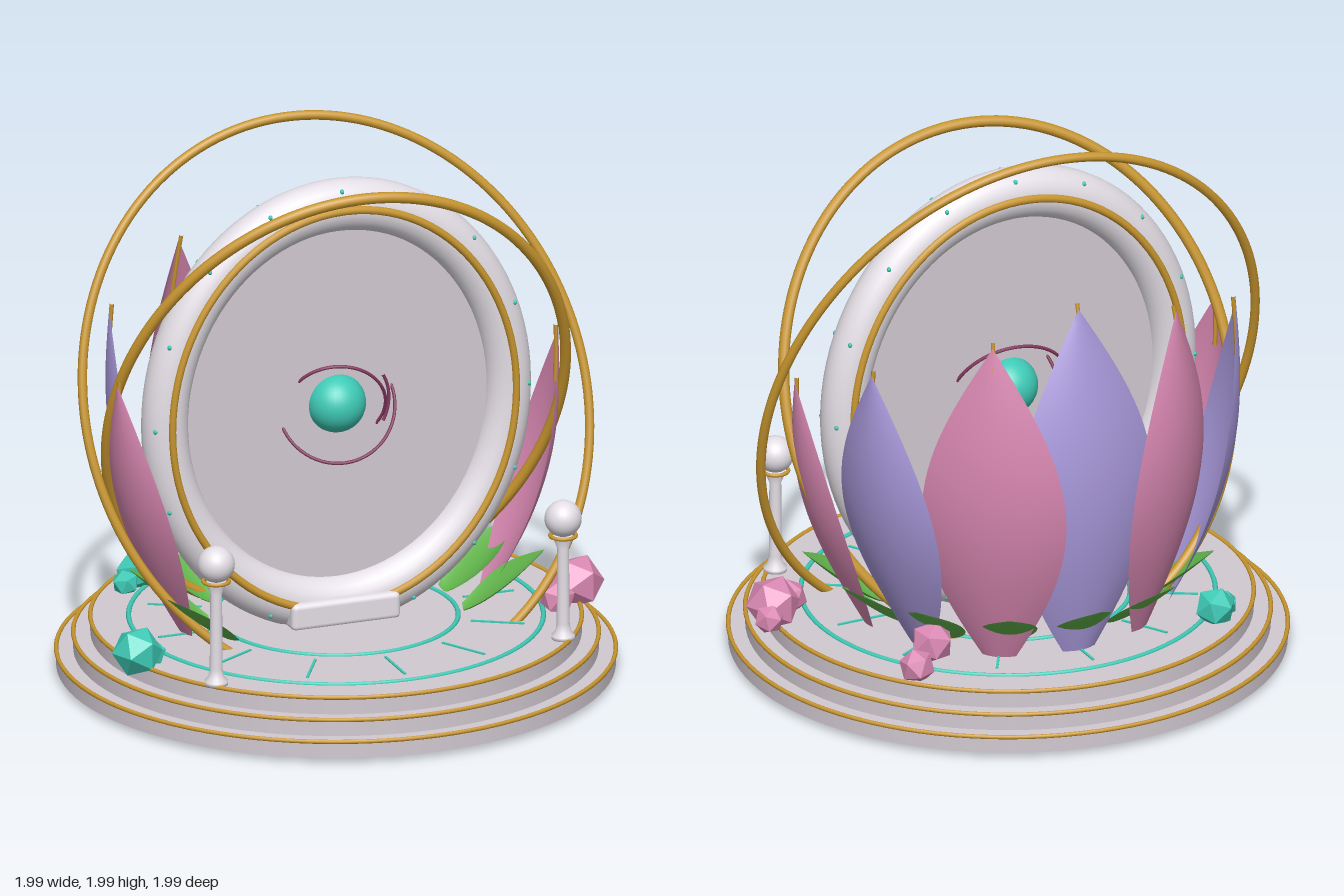
import * as THREE from 'three';
import { ParametricGeometry } from 'three/addons/geometries/ParametricGeometry.js';
import { RoundedBoxGeometry } from 'three/addons/geometries/RoundedBoxGeometry.js';

const mat = (name, color, extra = {}) => {
  const m = new THREE.MeshStandardMaterial({ color, ...extra });
  m.name = name;
  return m;
};

export function createModel() {
  const two = { side: THREE.DoubleSide };
  const shell = mat('pearl white', 0xe4dfe6);
  const stone = mat('pale stone', 0xd2c9d1);
  const gold = mat('gold', 0xc8962f);
  const teal = mat('teal', 0x3fcab6, { flatShading: false });
  const tealFacet = teal.clone();
  tealFacet.flatShading = true;
  const pink = mat('petal pink', 0xd988b2, two);
  const pinkFacet = mat('crystal pink', 0xd988b2, { flatShading: true });
  const violet = mat('petal violet', 0xa898da, two);
  const green = mat('leaf green', 0x62b44c, two);
  const plum = mat('plum', 0x85385f);

  const model = new THREE.Group();
  const add = (name, geometry, material, x = 0, y = 0, z = 0, parent = model) => {
    const mesh = new THREE.Mesh(geometry, material);
    mesh.name = name;
    mesh.position.set(x, y, z);
    parent.add(mesh);
    return mesh;
  };
  const flatRing = (name, r, tube, material, x, y, z) => {
    const ring = add(name, new THREE.TorusGeometry(r, tube, 8, 96), material, x, y, z);
    ring.rotation.x = Math.PI / 2;
    return ring;
  };
  const V = (x, y, z) => new THREE.Vector3(x, y, z);
  const deg = Math.PI / 180;

  // Stepped round platform with gold edges
  [[0.985, 0.03, 0.09], [0.925, 0.09, 0.15], [0.865, 0.15, 0.212]].forEach(([r, y0, y1]) => {
    add('platformTier', new THREE.CylinderGeometry(r, r, y1 - y0, 96), stone, 0, (y0 + y1) / 2, 0);
    flatRing('platformTrim', r, 0.008, gold, 0, y1, 0);
  });

  // Inlaid floor dial
  flatRing('floorRing', 0.73, 0.009, teal, 0, 0.212, 0);
  flatRing('floorRing', 0.43, 0.009, teal, 0, 0.212, 0);
  for (let i = 0; i < 12; i++) {
    const a = i * 30 * deg;
    const mark = add('floorMark', new THREE.BoxGeometry(0.009, 0.008, 0.19), teal,
      Math.sin(a) * 0.575, 0.213, Math.cos(a) * 0.575);
    mark.rotation.y = a;
  }

  // Oval portal frame
  const portal = new THREE.Group();
  portal.name = 'portal';
  portal.position.y = 1.005;
  portal.scale.x = 0.875;
  model.add(portal);
  add('portalFrame', new THREE.TorusGeometry(0.74, 0.095, 24, 96), shell, 0, 0, 0, portal).scale.z = 0.87;
  const pane = add('portalPane', new THREE.CylinderGeometry(0.68, 0.68, 0.016, 96), stone, 0, 0, 0, portal);
  pane.rotation.x = Math.PI / 2;
  for (const z of [-0.082, 0.082]) {
    add('portalTrim', new THREE.TorusGeometry(0.742, 0.015, 10, 96), gold, 0, 0, z, portal);
    for (let i = 0; i < 16; i++) {
      const a = i * 22.5 * deg;
      add('frameStud', new THREE.SphereGeometry(0.009, 8, 6), teal,
        Math.sin(a) * 0.806, Math.cos(a) * 0.806, z * 0.72, portal);
    }
  }
  add('portalFoot', new RoundedBoxGeometry(0.41, 0.1, 0.22, 3, 0.02), shell, 0, 0.255, 0);

  // Floating orb with tilted orbit arcs
  add('orb', new THREE.SphereGeometry(0.106, 32, 24), teal, 0, 1.005, 0);
  const orbit = (r, rx, ry) => {
    const ring = add('orbitRing', new THREE.TorusGeometry(r, 0.006, 8, 64), plum, 0, 1.0, 0);
    ring.rotation.set(rx, ry, 0);
  };
  orbit(0.212, -0.46, -0.12);
  orbit(0.175, 0.4, -0.25);
  const arc = add('orbitArc', new THREE.TorusGeometry(0.18, 0.006, 8, 24, 1.0), plum, 0, 1.02, 0.05);
  arc.rotation.z = -0.5;

  // Two large leaning hoops, each spanned by two half axes
  const hoop = (u, v, tube) => {
    const points = [];
    for (let i = 0; i < 48; i++) {
      const t = i / 48 * Math.PI * 2;
      points.push(V(0, 1.005, 0).addScaledVector(u, Math.cos(t)).addScaledVector(v, Math.sin(t)));
    }
    add('goldHoop', new THREE.TubeGeometry(new THREE.CatmullRomCurve3(points, true), 160, tube, 10, true), gold);
  };
  hoop(V(0.912, -0.05, 0.1), V(0, 0.977, -0.29), 0.017);
  hoop(V(0.822, 0, 0.09), V(0, 0.875, 0.335), 0.02);

  // Lotus petals: base angle, facing angle, tip height, outward lean
  const petal = (base, face, top, lean, material) => {
    const out = V(Math.sin(face), 0, -Math.cos(face));
    const side = V(Math.cos(face), 0, Math.sin(face));
    const root = V(Math.sin(base) * 0.57, 0.205, -Math.cos(base) * 0.57);
    const height = top - 0.205;
    const spine = (t, inset = 0) => root.clone()
      .addScaledVector(out, lean * t + 0.09 * height * Math.sin(Math.PI * t) - inset)
      .add(V(0, height * t, 0));
    const surface = (u, t, target) => {
      const s = u * 2 - 1;
      const w = 0.205 * height * Math.sin(Math.PI * (0.07 + 0.93 * t));
      target.copy(spine(t, 0.3 * w * s * s)).addScaledVector(side, w * s);
    };
    add('petal', new ParametricGeometry(surface, 12, 28), material);
    const vein = new THREE.CatmullRomCurve3([0.8, 0.87, 0.94, 1.0, 1.015].map(t => spine(t, 0.008)));
    add('petalVein', new THREE.TubeGeometry(vein, 12, 0.008, 6), gold);
  };
  petal(0, 0, 1.52, -0.015, violet);
  for (const m of [-1, 1]) {
    petal(30 * m * deg, 36 * m * deg, 1.46, 0.13, pink);
    petal(60 * m * deg, 72 * m * deg, 1.33, 0.235, violet);
    petal(88 * m * deg, 98 * m * deg, 1.18, 0.265, pink);
  }

  // Leaves around the petal bases
  for (let i = -4; i <= 4; i++) {
    const a = i * 26.3 * deg;
    const leaf = (u, t, target) => {
      const s = u * 2 - 1;
      const w = 0.1 * Math.sin(Math.PI * (0.12 + 0.88 * t));
      const r = 0.45 + 0.29 * t;
      const y = 0.212 + 0.215 * Math.pow(t, 1.25) + 0.35 * w * s * s;
      target.set(Math.sin(a) * r + Math.cos(a) * w * s, y, -Math.cos(a) * r + Math.sin(a) * w * s);
    };
    add('leaf', new ParametricGeometry(leaf, 8, 12), green);
  }

  // Faceted crystals: x, y, z, radius
  const crystals = (list, material) => list.forEach(([x, y, z, r], i) => {
    add('crystal', new THREE.IcosahedronGeometry(r, 0), material, x, y, z).rotation.set(i * 0.7, 0.4 + i, 0);
  });
  crystals([[0.85, 0.275, 0.15, 0.1], [0.75, 0.25, 0.22, 0.065], [0.9, 0.25, 0.08, 0.055],
    [0.5, 0.275, -0.4, 0.08], [0.62, 0.255, -0.52, 0.065]], pinkFacet);
  crystals([[-0.84, 0.26, 0.23, 0.092], [-0.78, 0.24, 0.21, 0.055],
    [-0.54, 0.26, -0.55, 0.075], [-0.6, 0.24, -0.5, 0.05]], tealFacet);

  // Front lamp posts
  const postProfile = [[0, 0.21], [0.042, 0.21], [0.042, 0.225], [0.028, 0.24], [0.023, 0.27],
    [0.021, 0.55], [0.034, 0.585], [0.034, 0.6], [0, 0.6]].map(p => new THREE.Vector2(...p));
  for (const x of [-0.655, 0.655]) {
    add('lampPost', new THREE.LatheGeometry(postProfile, 24), shell, x, 0, 0.52);
    flatRing('lampCollar', 0.046, 0.007, gold, x, 0.597, 0.52);
    add('lampGlobe', new THREE.SphereGeometry(0.066, 24, 18), shell, x, 0.66, 0.52);
  }

  return model;
}
